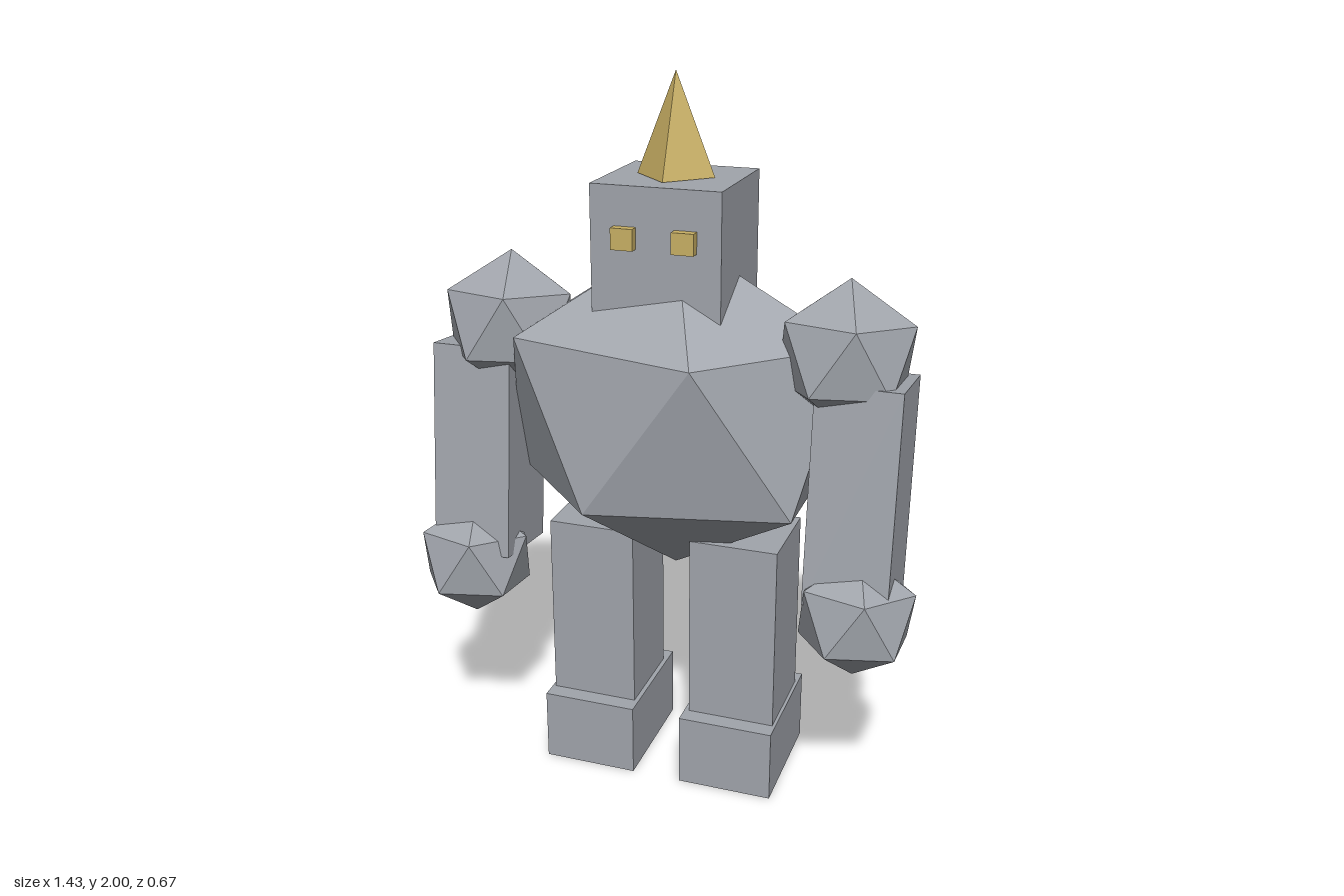
import * as THREE from 'three';
import { ConvexGeometry } from 'three/addons/geometries/ConvexGeometry.js';

// Twenty-sided stone standing on a point, with two staggered rings of five corners
function stoneGeometry() {
  const points = [new THREE.Vector3(0, 1, 0), new THREE.Vector3(0, -1, 0)];
  const ringRadius = 2 / Math.sqrt(5), ringHeight = 1 / Math.sqrt(5);
  for (let i = 0; i < 5; i++) {
    const a = (i * 2 * Math.PI) / 5;
    const x = ringRadius * Math.cos(a), z = ringRadius * Math.sin(a);
    points.push(new THREE.Vector3(x, ringHeight, z), new THREE.Vector3(-x, -ringHeight, z));
  }
  return new ConvexGeometry(points);
}

export function createModel() {
  const model = new THREE.Group();
  model.name = 'golem';

  const stone = new THREE.MeshStandardMaterial({ color: 0xa1a5ac, flatShading: true });
  stone.name = 'grey stone';
  const gold = new THREE.MeshStandardMaterial({ color: 0xc9b064, flatShading: true });
  gold.name = 'dull gold';

  const rock = stoneGeometry();
  const armTilt = -0.105;

  function add(name, geometry, material, x, y, z) {
    const mesh = new THREE.Mesh(geometry, material);
    mesh.name = name;
    mesh.position.set(x, y, z);
    model.add(mesh);
    return mesh;
  }
  const box = (name, material, w, h, d, x, y, z) =>
    add(name, new THREE.BoxGeometry(w, h, d), material, x, y, z);

  // Torso, head and horn
  add('torso', rock, stone, 0, 1.097, 0).scale.set(0.537, 0.479, 0.391);
  box('head', stone, 0.354, 0.355, 0.335, 0, 1.553, -0.003);
  add('horn', new THREE.ConeGeometry(0.107, 0.268, 4), gold, 0, 1.866, 0);

  for (const [side, s] of [['left', 1], ['right', -1]]) {
    // Eye
    box(side + 'Eye', gold, 0.06, 0.057, 0.06, s * 0.082, 1.597, 0.161);

    // Arm swung slightly forward, with a rock at each end
    const shoulder = add(side + 'Shoulder', rock, stone, s * 0.478, 1.302, 0.028);
    shoulder.scale.setScalar(0.199);
    shoulder.rotation.x = armTilt;
    box(side + 'Arm', stone, 0.23, 0.6, 0.238, s * 0.541, 0.945, 0.07).rotation.x = armTilt;
    const fist = add(side + 'Fist', rock, stone, s * 0.561, 0.619, 0.15);
    fist.scale.setScalar(0.174);
    fist.rotation.x = armTilt;

    // Leg and foot
    box(side + 'Leg', stone, 0.25, 0.56, 0.255, s * 0.209, 0.47, 0.002);
    box(side + 'Foot', stone, 0.272, 0.21, 0.355, s * 0.207, 0.105, 0.002);
  }
  return model;
}
